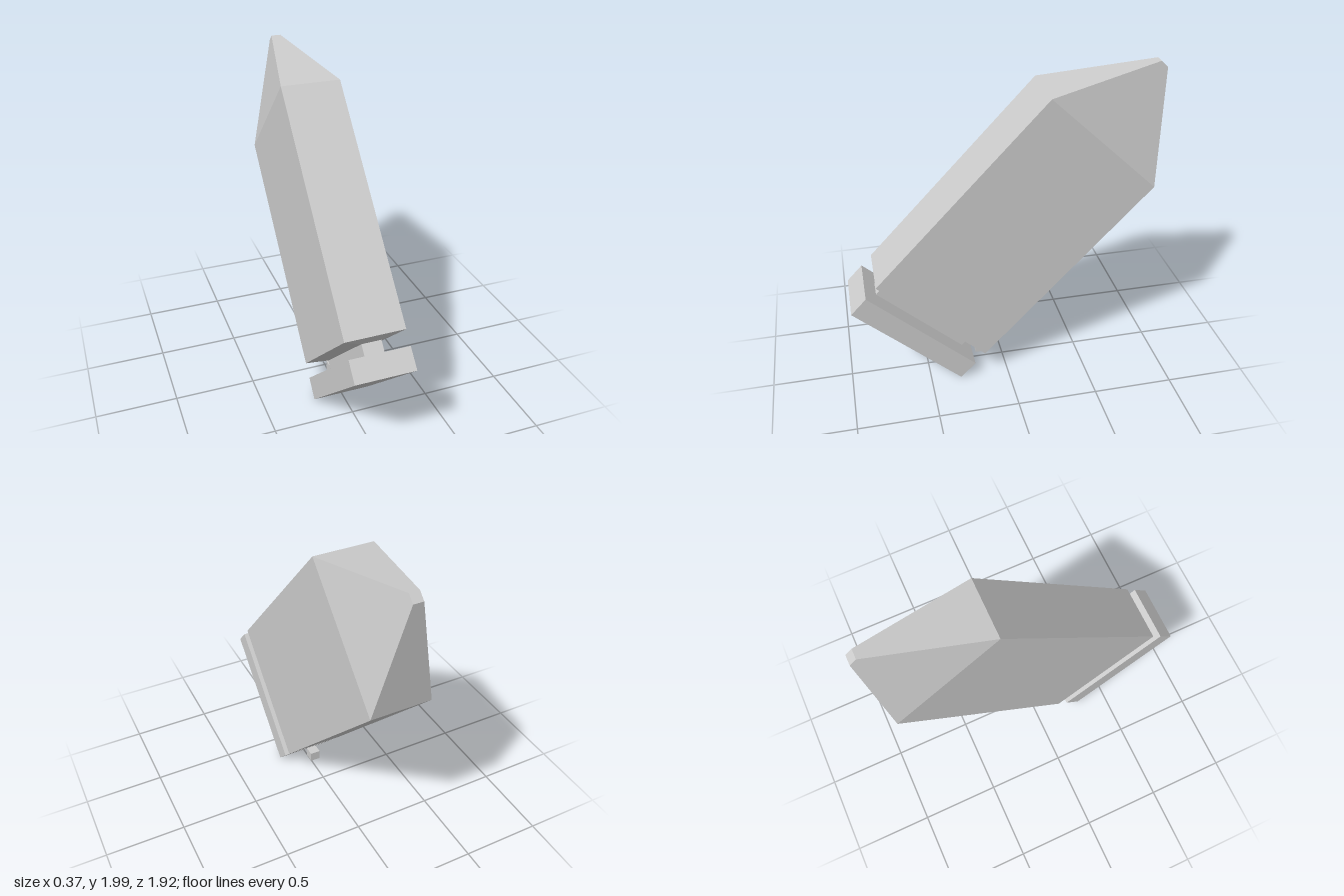
import * as THREE from 'three';

const material = new THREE.MeshStandardMaterial({ color: 0xcccccc, flatShading: true });

// Block between heights y0 and y1, with separate bottom and top sizes [x, z]
function block(name, y0, y1, bottom, top = bottom) {
  const geometry = new THREE.BoxGeometry(1, 1, 1);
  const p = geometry.attributes.position;
  for (let i = 0; i < p.count; i++) {
    const upper = p.getY(i) > 0;
    const size = upper ? top : bottom;
    p.setXYZ(i, p.getX(i) * size[0], upper ? y1 : y0, p.getZ(i) * size[1]);
  }
  geometry.computeVertexNormals();
  const mesh = new THREE.Mesh(geometry, material);
  mesh.name = name;
  return mesh;
}

export function createModel() {
  const model = new THREE.Group();
  model.name = 'cartridge';

  const full = [0.366, 0.895];
  const neck = [0.12, 0.714];

  // Tilted round: base rim, narrow neck, chamfered case base, case and pointed nose
  const round = new THREE.Group();
  round.name = 'round';
  round.add(
    block('rim', -0.232, -0.094, full),
    block('neck', -0.094, -0.02, neck),
    block('caseBase', -0.02, 0, neck, full),
    block('case', 0, 1.511, full),
    block('nose', 1.511, 2.06, full, [0.06, 0.056]),
  );
  round.rotation.x = -0.757;
  round.position.set(0, 0.4825, 0.475);
  model.add(round);

  // Small upright cube beside the rim
  const cube = block('smallCube', 0.07, 0.135, [0.065, 0.065]);
  cube.position.z = 0.153;
  model.add(cube);

  return model;
}
